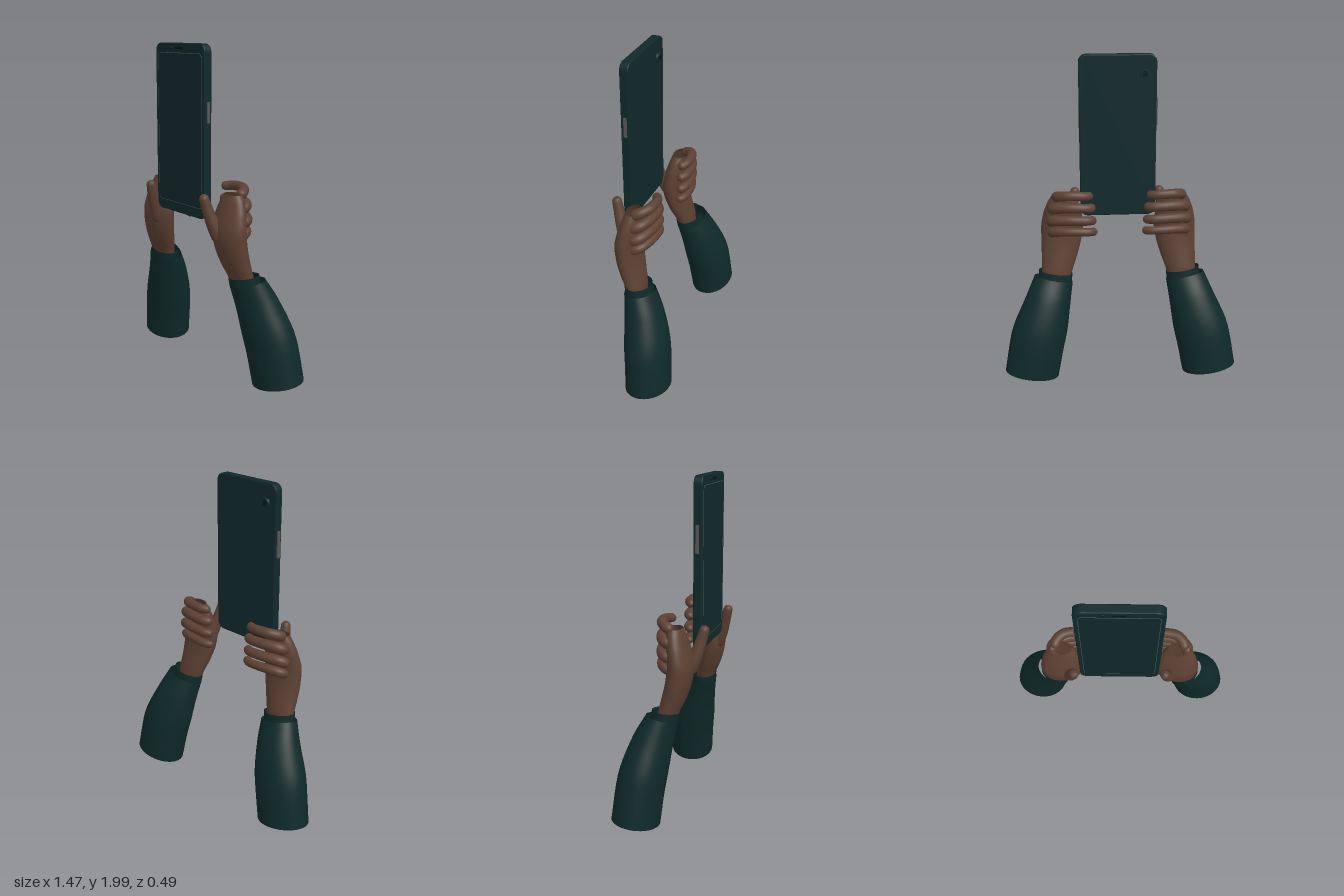
import * as THREE from 'three';
import { mergeVertices } from 'three/addons/utils/BufferGeometryUtils.js';

const mat = (name, color, side = THREE.FrontSide) => {
  const m = new THREE.MeshStandardMaterial({ color, side });
  m.name = name;
  return m;
};

// Smooth skin through elliptical rings [cx, y, cz, rx, rz], bottom to top; s = -1 mirrors in x
function loft(rings, s, tiltX = 0, tiltZ = 0, n = 40, steps = 5) {
  const centre = new THREE.CatmullRomCurve3(rings.map(r => new THREE.Vector3(r[0], r[1], r[2])));
  const radii = new THREE.CatmullRomCurve3(rings.map(r => new THREE.Vector3(r[3], r[4], 0)));
  const rows = (rings.length - 1) * steps;
  const pos = [], idx = [];
  for (let j = 0; j <= rows; j++) {
    const c = centre.getPoint(j / rows), r = radii.getPoint(j / rows);
    for (let i = 0; i < n; i++) {
      const a = (i / n) * Math.PI * 2, ca = Math.cos(a), sa = Math.sin(a);
      pos.push(s * (c.x + r.x * ca), c.y + tiltX * ca + tiltZ * sa, c.z + r.y * sa);
      if (j === rows) continue;
      const p = j * n + i, q = j * n + (i + 1) % n;
      if (s > 0) idx.push(p, p + n, q, q, p + n, q + n);
      else idx.push(p, q, p + n, q, q + n, p + n);
    }
  }
  const g = new THREE.BufferGeometry();
  g.setAttribute('position', new THREE.Float32BufferAttribute(pos, 3));
  g.setIndex(idx);
  g.computeVertexNormals();
  return g;
}

// Round-ended tube whose radius goes from r0 to r1 along the path
function digit(points, s, r0, r1) {
  const curve = new THREE.CatmullRomCurve3(points.map(p => new THREE.Vector3(p[0] * s, p[1], p[2])));
  const n = 40, m = 18;
  let g = new THREE.TubeGeometry(curve, n, 1, m, false);
  const len = curve.getLength(), p = g.attributes.position, v = new THREE.Vector3();
  for (let i = 0; i <= n; i++) {
    const t = i / n, c = curve.getPointAt(t);
    const base = r0 + (r1 - r0) * t;
    const k = Math.min(1, (Math.min(t, 1 - t) * len) / base);
    const r = base * Math.sqrt(Math.max(0.0004, 1 - (1 - k) * (1 - k)));
    for (let j = 0; j <= m; j++) {
      const q = i * (m + 1) + j;
      v.fromBufferAttribute(p, q).sub(c).multiplyScalar(r).add(c);
      p.setXYZ(q, v.x, v.y, v.z);
    }
  }
  g.deleteAttribute('uv');
  g.deleteAttribute('normal');
  g = mergeVertices(g, 1e-5);
  g.computeVertexNormals();
  return g;
}

// Rounded rectangle, as a shape or a hole
function roundRect(target, x0, y0, x1, y1, r) {
  target.moveTo(x0 + r, y0);
  target.lineTo(x1 - r, y0);
  target.absarc(x1 - r, y0 + r, r, -Math.PI / 2, 0);
  target.lineTo(x1, y1 - r);
  target.absarc(x1 - r, y1 - r, r, 0, Math.PI / 2);
  target.lineTo(x0 + r, y1);
  target.absarc(x0 + r, y1 - r, r, Math.PI / 2, Math.PI);
  target.lineTo(x0, y0 + r);
  target.absarc(x0 + r, y0 + r, r, Math.PI, Math.PI * 1.5);
  return target;
}

export function createModel() {
  const model = new THREE.Group();
  const skin = mat('skin', 0x5c4033, THREE.DoubleSide);
  const cloth = mat('sleeve teal', 0x0f2929, THREE.DoubleSide);
  const shell = mat('phone teal', 0x10292b);
  const glass = mat('screen teal', 0x10282b);
  const trim = mat('trim grey', 0x585756);
  const black = mat('lens black', 0x0a1516);
  const add = (parent, name, geo, material, x = 0, y = 0, z = 0) => {
    const m = new THREE.Mesh(geo, material);
    m.name = name;
    m.position.set(x, y, z);
    parent.add(m);
    return m;
  };

  // Phone
  const phone = new THREE.Group();
  phone.name = 'phone';
  model.add(phone);
  const b = 0.006;
  add(phone, 'phoneBody', new THREE.ExtrudeGeometry(
    roundRect(new THREE.Shape(), -0.235 + b, 1 + b, 0.235 - b, 2 - b, 0.042),
    { depth: 0.053 - 2 * b, bevelEnabled: true, bevelSize: b, bevelThickness: b, bevelSegments: 3, curveSegments: 10 }
  ), shell, 0, 0, 0.135 + b);
  add(phone, 'screen', new THREE.ExtrudeGeometry(
    roundRect(new THREE.Shape(), -0.208, 1.063, 0.208, 1.942, 0.022), { depth: 0.002, bevelEnabled: false }
  ), glass, 0, 0, 0.1875);
  const frame = roundRect(new THREE.Shape(), -0.211, 1.06, 0.211, 1.945, 0.025);
  frame.holes.push(roundRect(new THREE.Path(), -0.208, 1.063, 0.208, 1.942, 0.022));
  add(phone, 'screenOutline', new THREE.ExtrudeGeometry(frame, { depth: 0.002, bevelEnabled: false }), trim, 0, 0, 0.1875);
  add(phone, 'speaker', new THREE.ExtrudeGeometry(
    roundRect(new THREE.Shape(), -0.038, 1.965, 0.038, 1.979, 0.0065), { depth: 0.005, bevelEnabled: false }
  ), black, 0, 0, 0.187);
  add(phone, 'frontCamera', new THREE.SphereGeometry(0.008, 16, 10), black, -0.082, 1.972, 0.186);
  add(phone, 'volumeButton', new THREE.BoxGeometry(0.012, 0.16, 0.02), trim, -0.237, 1.65, 0.16);
  add(phone, 'powerButton', new THREE.BoxGeometry(0.01, 0.12, 0.02), trim, 0.235, 1.62, 0.16);
  add(phone, 'rearCamera', new THREE.CylinderGeometry(0.03, 0.026, 0.014, 32), shell, -0.16, 1.885, 0.13).rotation.x = Math.PI / 2;
  add(phone, 'rearLens', new THREE.CylinderGeometry(0.018, 0.018, 0.003, 24), black, -0.16, 1.885, 0.122).rotation.x = Math.PI / 2;

  // Forearms and hands, mirrored
  const sleeveRings = [
    [0.567, 0.038, -0.107, 0.167, 0.138], [0.518, 0.285, -0.083, 0.169, 0.138],
    [0.452, 0.51, -0.035, 0.138, 0.115], [0.414, 0.635, 0.008, 0.118, 0.091]];
  const cuffRings = [
    [0.415, 0.585, 0.012, 0.1, 0.08], [0.405, 0.63, 0.02, 0.103, 0.079], [0.4, 0.674, 0.025, 0.104, 0.078]];
  const palmRings = [
    [0.4, 0.6, 0.03, 0.083, 0.052], [0.392, 0.67, 0.042, 0.095, 0.06], [0.377, 0.75, 0.068, 0.109, 0.07],
    [0.362, 0.85, 0.092, 0.124, 0.074], [0.353, 0.95, 0.1, 0.131, 0.073], [0.35, 1.05, 0.085, 0.116, 0.064],
    [0.349, 1.12, 0.072, 0.09, 0.053], [0.35, 1.16, 0.066, 0.064, 0.044]];
  // Each finger: height, thickness, reach of its tip, root x
  const fingers = [[1.182, 0.031, 0.18, 0.39], [1.105, 0.033, 0.165, 0.415], [1.025, 0.032, 0.16, 0.425], [0.952, 0.029, 0.155, 0.42]];

  for (const s of [1, -1]) {
    const arm = new THREE.Group();
    arm.name = s > 0 ? 'leftArm' : 'rightArm';
    model.add(arm);
    add(arm, 'sleeve', loft(sleeveRings, s, 0.027, -0.018), cloth);
    add(arm, 'cuff', loft(cuffRings, s, 0.018, -0.008), cloth);
    add(arm, 'palm', loft(palmRings, s), skin);
    add(arm, 'thumb', digit([[0.315, 0.88, 0.125], [0.298, 0.97, 0.165], [0.278, 1.07, 0.197], [0.264, 1.165, 0.222]], s, 0.046, 0.027), skin);
    for (const [y, r, tip, root] of fingers) {
      add(arm, 'finger', digit([
        [root, y - 0.035, 0.065], [root - 0.015, y - 0.012, 0.015], [0.33, y, -0.02],
        [0.25, y, -0.03], [tip + 0.035, y - 0.004, -0.024], [tip - 0.012, y - 0.01, 0.008]], s, r * 1.05, r * 0.85), skin);
    }
  }
  return model;
}
